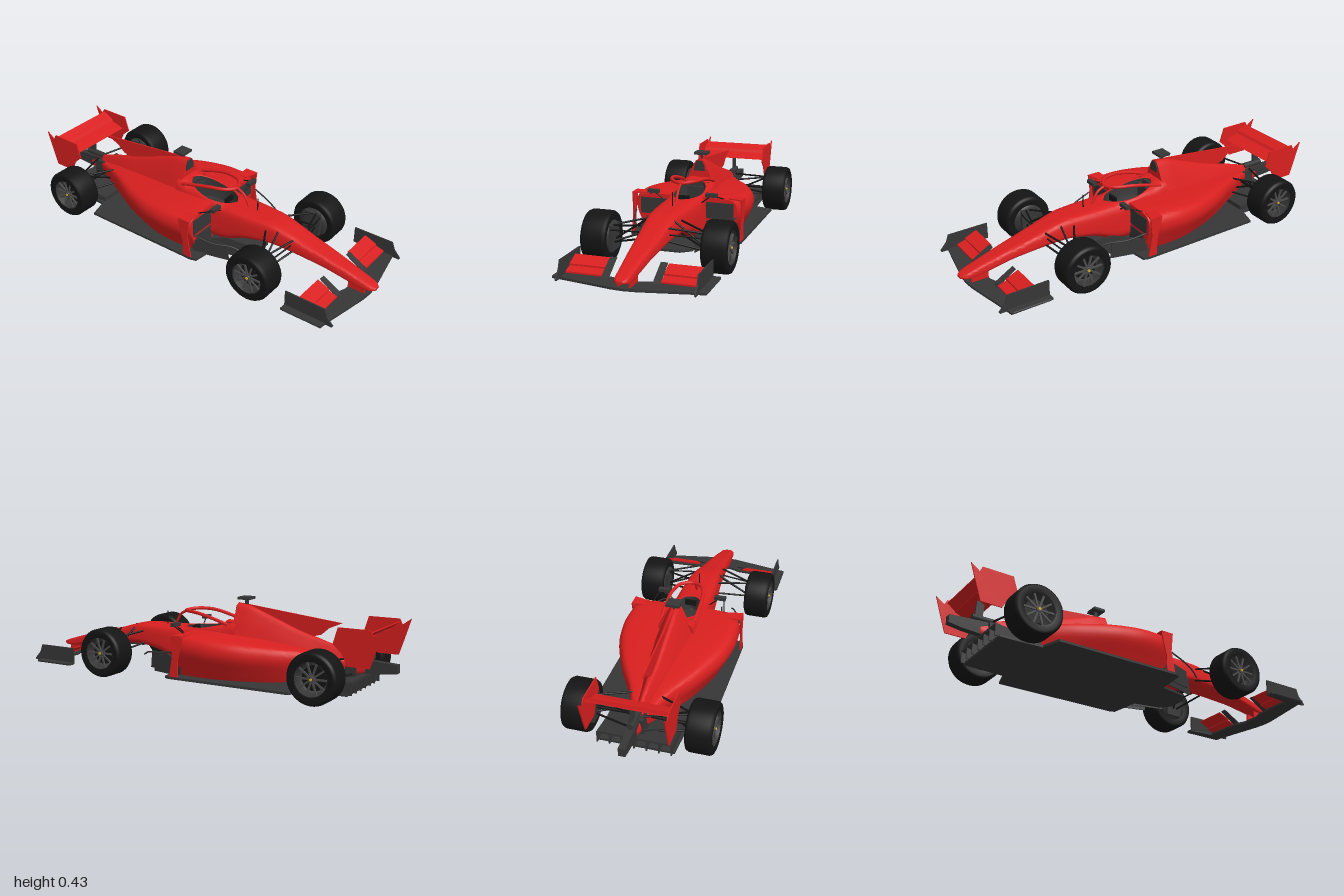
import * as THREE from 'three';
import { toCreasedNormals } from 'three/addons/utils/BufferGeometryUtils.js';

const mat = (color) => new THREE.MeshStandardMaterial({ color, side: THREE.DoubleSide });
const red = mat(0xd91f1f), dark = mat(0x363636), black = mat(0x141414), rimGrey = mat(0x4a4a4a), yellow = mat(0xd8b020);
const V = (x, y, z) => new THREE.Vector3(x, y, z);

function add(parent, name, geo, material) {
  const m = new THREE.Mesh(geo, material);
  m.name = name;
  parent.add(m);
  return m;
}

// smooth lookup through [x, value] pairs, x ascending
const track = (pairs) => (x) => {
  const n = pairs.length;
  if (x <= pairs[0][0]) return pairs[0][1];
  if (x >= pairs[n - 1][0]) return pairs[n - 1][1];
  const i = pairs.findIndex((p) => p[0] > x) - 1;
  const slope = (k) => (pairs[k + 1][1] - pairs[k][1]) / (pairs[k + 1][0] - pairs[k][0]);
  const tan = (k) => {
    if (k === 0) return slope(0);
    if (k === n - 1) return slope(n - 2);
    const a = slope(k - 1), b = slope(k);
    return a * b <= 0 ? 0 : (2 * a * b) / (a + b);
  };
  const h = pairs[i + 1][0] - pairs[i][0], t = (x - pairs[i][0]) / h, t2 = t * t, t3 = t2 * t;
  return (2 * t3 - 3 * t2 + 1) * pairs[i][1] + (t3 - 2 * t2 + t) * h * tan(i)
    + (3 * t2 - 2 * t3) * pairs[i + 1][1] + (t3 - t2) * h * tan(i + 1);
};

const smooth = (pts, n = 18) =>
  new THREE.SplineCurve(pts.map((p) => new THREE.Vector2(...p))).getPoints(n).map((p) => [p.x, p.y]);
const mirrored = (half) => [...half.slice(1).reverse().map(([z, y]) => [-z, y]), ...half];

// skin of [z, y] cross-sections between two x positions, ends capped with fans
function loft(x0, x1, steps, section, cap = true) {
  const pos = [], idx = [], rings = [];
  for (let i = 0; i <= steps; i++) {
    const x = x0 + ((x1 - x0) * i) / steps, ring = section(x);
    rings.push(ring);
    ring.forEach(([z, y]) => pos.push(x, y, z));
  }
  const n = rings[0].length;
  for (let i = 0; i < steps; i++) for (let j = 0; j < n - 1; j++) {
    const a = i * n + j, b = a + n;
    idx.push(a, b, a + 1, b, b + 1, a + 1);
  }
  if (cap) for (const i of [0, steps]) {
    const c = pos.length / 3, r = rings[i];
    pos.push(i ? x1 : x0, r.reduce((s, p) => s + p[1], 0) / n, r.reduce((s, p) => s + p[0], 0) / n);
    for (let j = 0; j < n - 1; j++) {
      const a = i * n + j;
      idx.push(c, i ? a : a + 1, i ? a + 1 : a);
    }
  }
  const g = new THREE.BufferGeometry();
  g.setAttribute('position', new THREE.Float32BufferAttribute(pos, 3));
  g.setIndex(idx);
  return toCreasedNormals(g, 0.7);
}

const extrude = (pts, depth) => new THREE.ExtrudeGeometry(
  new THREE.Shape(pts.map((p) => new THREE.Vector2(...p))), { depth, bevelEnabled: false });
// upright panel from [x, y] corners, centred on z
const panel = (pts, t, z = 0) => extrude(pts, t).translate(0, 0, z - t / 2);
// flat sheet from [x, z] corners, top at y
const sheet = (pts, t, y) => extrude(pts, t).rotateX(Math.PI / 2).translate(0, y, 0);
// wing from [x, y] profile spanning z0..z1
const span = (pts, z0, z1) => extrude(pts, z1 - z0).translate(0, 0, z0);
const box = (w, h, d, x, y, z) => new THREE.BoxGeometry(w, h, d).translate(x, y, z);
const tube = (pts, r, n = 24) => new THREE.TubeGeometry(new THREE.CatmullRomCurve3(pts), n, r, 8);
const flipX = (half) => [...half, ...half.slice().reverse().map(([x, z]) => [x, -z])];

function wheel(name, x, s) {
  const g = new THREE.Group();
  g.name = name;
  const v = (a) => a.map((p) => new THREE.Vector2(...p));
  // tyre, rim barrel, spokes and hub; axis along local y, outer face at +y
  add(g, 'tyre', new THREE.LatheGeometry(v([[0.082, -0.06], [0.11, -0.065], [0.121, -0.06], [0.127, -0.048],
    [0.127, 0.048], [0.121, 0.06], [0.11, 0.065], [0.082, 0.06]]), 48), black);
  add(g, 'rimBarrel', new THREE.LatheGeometry(v([[0, -0.05], [0.082, -0.06], [0.078, 0.03], [0.084, 0.061]]), 40), dark);
  add(g, 'brakeDisc', new THREE.CylinderGeometry(0.06, 0.06, 0.02, 32).translate(0, 0.015, 0), black);
  for (let i = 0; i < 10; i++) {
    add(g, 'spoke', box(0.07, 0.008, 0.009, 0.045, 0.045, 0).rotateY((i * Math.PI) / 5), rimGrey);
  }
  add(g, 'hub', new THREE.CylinderGeometry(0.014, 0.018, 0.02, 20).translate(0, 0.045, 0), rimGrey);
  add(g, 'wheelNut', new THREE.CylinderGeometry(0.007, 0.007, 0.006, 6).translate(0, 0.057, 0), yellow);
  g.rotation.x = (s * Math.PI) / 2;
  g.position.set(x, 0.127, s * 0.3);
  return g;
}

export function createModel() {
  const car = new THREE.Group();
  car.name = 'racingCar';

  // nose and survival cell, open around the cockpit
  const cw = track([[-0.2, 0.1], [0, 0.108], [0.25, 0.1], [0.5, 0.077], [0.9, 0.042], [0.975, 0.035], [1, 0.016]]);
  const ct = track([[-0.14, 0.3], [-0.04, 0.275], [0.06, 0.257], [0.2, 0.252], [0.4, 0.25], [0.62, 0.2], [0.97, 0.106], [1, 0.094]]);
  const cb = track([[-0.2, 0.04], [0.12, 0.045], [0.3, 0.11], [0.45, 0.135], [0.7, 0.118], [0.96, 0.075], [1, 0.082]]);
  const rim = (x) => 0.074 * Math.sqrt(Math.max(0, 1 - ((x - 0.03) / 0.14) ** 2));
  add(car, 'noseAndChassis', loft(-0.16, 1, 110, (x) => {
    const w = cw(x), b = cb(x), t = ct(x), h = t - b, r = rim(x), k = Math.max(0.5 * w, r + 0.01);
    return mirrored(smooth([[0, b], [0.55 * w, b], [0.95 * w, b + 0.15 * h], [w, b + 0.4 * h],
      [0.88 * w, t - 0.12 * h], [k, t], [r, t]], 24));
  }), red);
  add(car, 'cockpitTub', loft(-0.11, 0.17, 40, (x) => {
    const r = rim(x), t = ct(x);
    return mirrored([[0, 0.17], [0.8 * r, 0.175], [0.97 * r, 0.21], [r, t]]);
  }, false), dark);
  add(car, 'seatBack', box(0.02, 0.09, 0.09, -0.07, 0.22, 0).rotateZ(0.02), dark);
  add(car, 'headrest', box(0.02, 0.035, 0.13, -0.1, 0.268, 0), dark);
  add(car, 'steeringWheel', box(0.012, 0.03, 0.06, 0.12, 0.245, 0), black);

  // engine cover, intake and dorsal fin
  const ew = track([[-0.84, 0.02], [-0.65, 0.05], [-0.5, 0.08], [-0.14, 0.105]]);
  const et = track([[-0.84, 0.17], [-0.65, 0.235], [-0.5, 0.28], [-0.3, 0.355], [-0.2, 0.39], [-0.14, 0.398]]);
  add(car, 'engineCover', loft(-0.84, -0.14, 36, (x) => {
    const w = ew(x), t = et(x), b = track([[-0.84, 0.11], [-0.6, 0.05]])(x), h = t - b;
    return mirrored(smooth([[0, b], [0.8 * w, b], [w, b + 0.35 * h], [0.68 * w, b + 0.66 * h],
      [0.4 * w, b + 0.86 * h], [0.2 * w, b + 0.97 * h], [0, t]], 24));
  }), red);
  add(car, 'airIntake', extrude([[-0.03, 0.335], [0.03, 0.335], [0.026, 0.365], [0.015, 0.388], [-0.015, 0.388], [-0.026, 0.365]], 0.006)
    .rotateY(Math.PI / 2).translate(-0.14, 0, 0), dark);
  add(car, 'dorsalFin', panel([[-0.16, 0.396], [-0.71, 0.336], [-0.64, 0.305], [-0.6, 0.27], [-0.53, 0.252], [-0.5, 0.2], [-0.16, 0.25]], 0.008), red);
  add(car, 'cameraStem', box(0.02, 0.03, 0.006, -0.185, 0.408, 0), dark);
  add(car, 'cameraPod', box(0.065, 0.013, 0.072, -0.183, 0.424, 0), dark);

  // head protection hoop and its centre pillar
  add(car, 'haloHoop', tube([V(-0.12, 0.29, 0.085), V(-0.04, 0.315, 0.088), V(0.06, 0.337, 0.082), V(0.14, 0.34, 0.055), V(0.172, 0.336, 0),
    V(0.14, 0.34, -0.055), V(0.06, 0.337, -0.082), V(-0.04, 0.315, -0.088), V(-0.12, 0.29, -0.085)], 0.009, 60), red);
  add(car, 'haloPillar', tube([V(0.168, 0.336, 0), V(0.215, 0.31, 0), V(0.25, 0.25, 0)], 0.007), red);
  add(car, 'sensorMast', box(0.004, 0.07, 0.004, 0.3, 0.285, 0), black);

  // floor
  add(car, 'floor', sheet(flipX([[0.34, 0.05], [0.3, 0.1], [0.15, 0.13], [0.13, 0.29], [0.1, 0.3], [-0.57, 0.3], [-0.6, 0.2], [-0.82, 0.19]]), 0.012, 0.037), dark);
  add(car, 'diffuser', span([[-0.6, 0.035], [-0.84, 0.085], [-0.84, 0.095], [-0.6, 0.06]], -0.18, 0.18), dark);
  for (let i = -3; i <= 3; i++) {
    add(car, 'diffuserFin', panel([[-0.62, 0.03], [-0.84, 0.03], [-0.84, 0.09], [-0.62, 0.05]], 0.006, i * 0.06), dark);
  }
  add(car, 'rearCrashStructure', panel([[-0.76, 0.1], [-0.93, 0.11], [-1, 0.12], [-1, 0.162], [-0.76, 0.178]], 0.034), dark);
  add(car, 'gearbox', box(0.2, 0.1, 0.07, -0.7, 0.12, 0), dark);
  add(car, 'exhaust', new THREE.CylinderGeometry(0.016, 0.016, 0.12, 20).rotateZ(Math.PI / 2).translate(-0.82, 0.19, 0), dark);

  // rear wing
  add(car, 'rearMainPlane', span([[-0.79, 0.272], [-0.82, 0.268], [-0.885, 0.295], [-0.885, 0.3], [-0.82, 0.282]], -0.193, 0.193), red);
  add(car, 'rearFlap', span([[-0.865, 0.298], [-0.885, 0.3], [-0.93, 0.333], [-0.928, 0.338], [-0.875, 0.312]], -0.193, 0.193), red);
  add(car, 'rearWingPylon', panel([[-0.83, 0.15], [-0.87, 0.15], [-0.86, 0.282], [-0.82, 0.275]], 0.01), dark);

  // left and right parts
  const pw = track([[-0.76, 0.03], [-0.6, 0.1], [-0.4, 0.212], [-0.2, 0.285], [-0.08, 0.299], [0.02, 0.293], [0.08, 0.27]]);
  const pt = track([[-0.76, 0.165], [-0.5, 0.205], [-0.2, 0.236], [0.02, 0.248], [0.08, 0.244]]);
  const pi = track([[-0.76, 0.004], [-0.3, 0.04], [-0.13, 0.08], [0.08, 0.088]]);
  const pb = track([[-0.76, 0.1], [-0.5, 0.045], [-0.3, 0.035], [0.08, 0.036]]);
  for (const s of [1, -1]) {
    const side = new THREE.Group();
    side.name = s > 0 ? 'leftSide' : 'rightSide';
    car.add(side);
    const rod = (name, a, b, r = 0.005) => add(side, name, tube([V(a[0], a[1], s * a[2]), V(b[0], b[1], s * b[2])], r, 1), black);

    // sidepod with undercut, inlet and leading blade
    add(side, 'sidepod', loft(-0.76, 0.08, 44, (x) => {
      const w = pw(x), t = pt(x), i = pi(x), b = pb(x), h = t - b, d = w - i;
      const loop = [[i, b], ...smooth([[i + 0.72 * d, b], [i + 0.84 * d, b + 0.25 * h], [w, b + 0.62 * h],
        [i + 0.95 * d, t - 0.1 * h], [i + 0.72 * d, t], [i, t + 0.02 * h]], 20), [i, b]];
      return s > 0 ? loop : loop.map(([z, y]) => [-z, y]).reverse();
    }), red);
    add(side, 'sidepodInlet', box(0.008, 0.085, 0.145, 0.08, 0.182, s * 0.178), dark);
    add(side, 'undercutPanel', box(0.008, 0.09, 0.12, 0.08, 0.08, s * 0.16), dark);
    add(side, 'sidepodBlade', panel([[0.1, 0.036], [0.05, 0.036], [0.05, 0.12], [0.02, 0.24], [0.09, 0.25], [0.08, 0.15]], 0.007, s * 0.294), red);
    add(side, 'sidepodWinglet', sheet([[0.02, s * 0.22], [0.07, s * 0.22], [0.09, s * 0.297], [0.02, s * 0.297]], 0.006, 0.25), red);

    // turning vanes ahead of the sidepod
    const vane = panel([[-0.09, 0.03], [0.11, 0.03], [0.1, 0.12], [0, 0.13], [-0.09, 0.1]], 0.006);
    for (const z of [0.15, 0.215]) add(side, 'turningVane', vane, dark).position.set(0.22 - (z - 0.15), 0, s * z);
    side.children.slice(-2).forEach((m) => { m.rotation.y = s * 0.25; });
    add(side, 'vaneArm', tube([V(0.1, 0.16, s * 0.27), V(0.2, 0.14, s * 0.245), V(0.29, 0.13, s * 0.2), V(0.33, 0.11, s * 0.18)], 0.004), dark);

    // mirror
    add(side, 'mirror', box(0.025, 0.018, 0.06, 0.15, 0.28, s * 0.155), dark);
    rod('mirrorStay', [0.15, 0.275, 0.15], [0.14, 0.235, 0.1], 0.003);
    rod('mirrorStay', [0.15, 0.275, 0.175], [0.06, 0.24, 0.2], 0.003);

    // wheels
    side.add(wheel('frontWheel', 0.49, s), wheel('rearWheel', -0.71, s));

    // front suspension
    for (const x of [0.4, 0.56]) {
      rod('frontUpperArm', [0.5, 0.185, 0.25], [x, 0.215, 0.07]);
      rod('frontLowerArm', [0.5, 0.1, 0.25], [x, 0.15, 0.07]);
    }
    rod('frontPushRod', [0.49, 0.11, 0.24], [0.47, 0.23, 0.06]);
    rod('steeringArm', [0.53, 0.17, 0.25], [0.55, 0.18, 0.07], 0.004);
    add(side, 'frontBrakeDuct', box(0.09, 0.13, 0.02, 0.49, 0.127, s * 0.235), dark);

    // rear suspension
    for (const x of [-0.6, -0.78]) {
      rod('rearUpperArm', [-0.71, 0.19, 0.25], [x, 0.18, 0.03]);
      rod('rearLowerArm', [-0.71, 0.09, 0.25], [x, 0.1, 0.03]);
    }
    rod('driveShaft', [-0.71, 0.127, 0.25], [-0.71, 0.13, 0.03], 0.008);
    rod('rearPullRod', [-0.7, 0.19, 0.24], [-0.66, 0.1, 0.04]);
    add(side, 'rearBrakeDuct', box(0.09, 0.13, 0.02, -0.71, 0.127, s * 0.235), dark);

    // rear wing endplate
    add(side, 'rearEndplate', panel([[-0.99, 0.355], [-0.945, 0.322], [-0.93, 0.35], [-0.77, 0.35], [-0.745, 0.27],
      [-0.79, 0.23], [-0.82, 0.17], [-0.93, 0.17], [-0.95, 0.23]], 0.006, s * 0.196), red);

    // front wing: swept plane, flaps, endplate and nose strut
    add(side, 'frontMainPlane', sheet([[0.97, 0], [0.965, s * 0.06], [0.915, s * 0.32], [0.91, s * 0.362],
      [0.69, s * 0.362], [0.69, s * 0.325], [0.83, s * 0.31], [0.84, s * 0.1], [0.86, s * 0.05], [0.86, 0]], 0.011, 0.052), dark);
    const z0 = s > 0 ? 0.14 : -0.318, z1 = s > 0 ? 0.318 : -0.14;
    add(side, 'frontFlap', span([[0.865, 0.056], [0.81, 0.074], [0.81, 0.08], [0.865, 0.064]], z0, z1), red);
    add(side, 'frontFlap', span([[0.82, 0.078], [0.755, 0.108], [0.755, 0.113], [0.82, 0.086]], z0, z1), red);
    add(side, 'frontInnerFlap', span([[0.87, 0.052], [0.77, 0.115], [0.765, 0.12], [0.86, 0.066]], s > 0 ? 0.105 : -0.14, s > 0 ? 0.14 : -0.105), dark);
    add(side, 'frontEndplate', panel([[0.69, 0.044], [0.69, 0.13], [0.905, 0.13], [0.92, 0.09], [0.955, 0.052], [0.95, 0.044]], 0.007, s * 0.325), dark);
    add(side, 'endplateFoot', tube([V(0.7, 0.046, s * 0.36), V(0.9, 0.048, s * 0.36)], 0.006, 2), dark);
    add(side, 'noseStrut', panel([[0.95, 0.05], [0.95, 0.09], [0.86, 0.11], [0.86, 0.05]], 0.008, s * 0.028), red);
  }
  return car;
}
